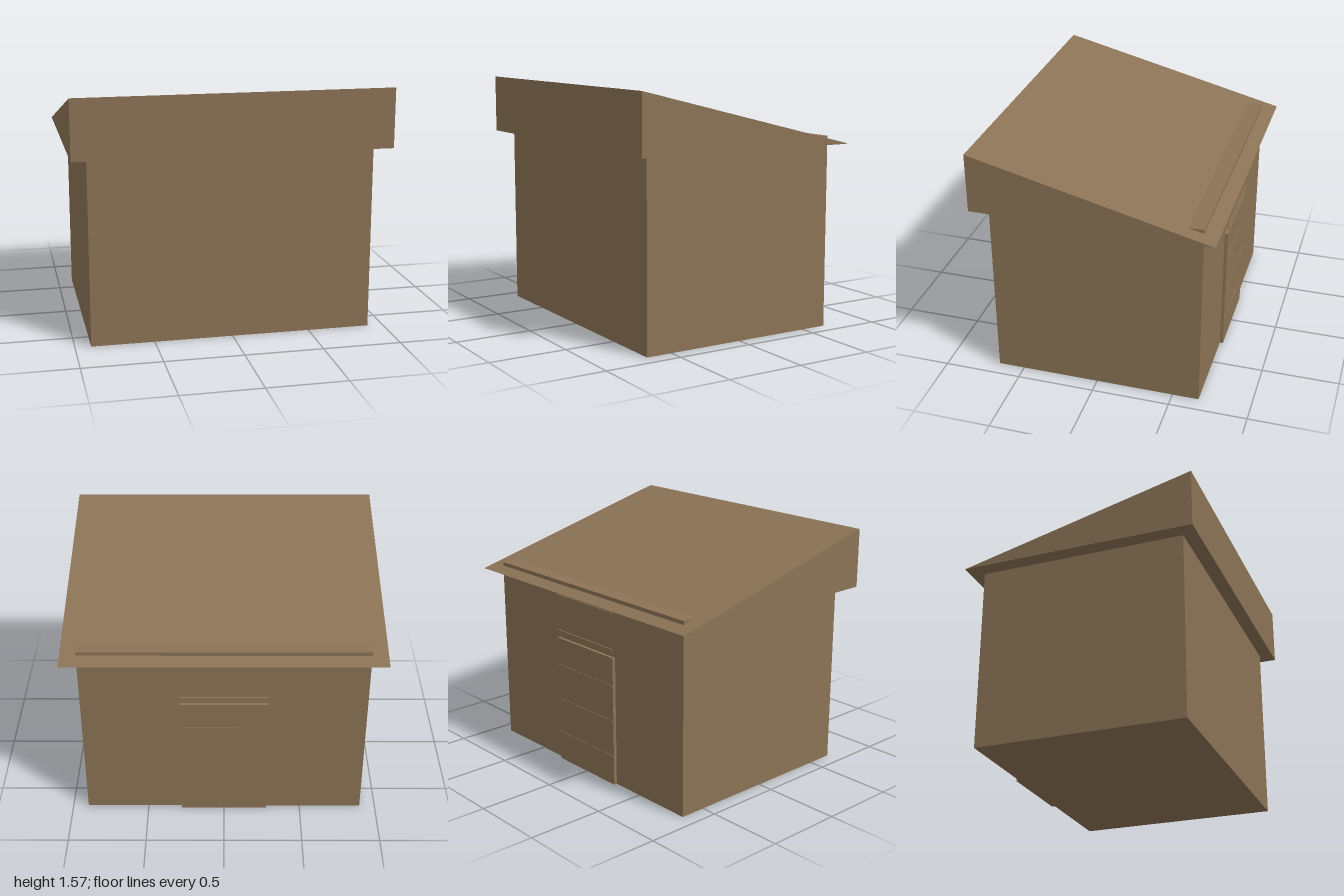
import * as THREE from 'three';

export function createModel() {
  const model = new THREE.Group();
  model.name = 'shed';
  const wood = new THREE.MeshStandardMaterial({ color: 0x8b7355 });
  wood.name = 'brown wood';

  const add = (name, geometry, x = 0, y = 0, z = 0) => {
    const mesh = new THREE.Mesh(geometry, wood);
    mesh.name = name;
    mesh.position.set(x, y, z);
    model.add(mesh);
  };

  // Walls: their top edge pokes slightly through the low side of the roof
  add('walls', new THREE.BoxGeometry(1.8, 1.24, 1.34), 0, 0.62, 0);

  // Wedge roof: triangular side profile extruded across the width
  const profile = new THREE.Shape([
    new THREE.Vector2(-0.76, 1.193),
    new THREE.Vector2(0.76, 1.193),
    new THREE.Vector2(-0.76, 1.573),
  ]);
  const roof = new THREE.ExtrudeGeometry(profile, { depth: 2, bevelEnabled: false });
  roof.translate(0, 0, -1).rotateY(Math.PI / 2); // profile x becomes -z
  add('roof', roof);

  // Door on the back wall
  add('door', new THREE.BoxGeometry(0.56, 0.857, 0.024), 0, 0.4285, -0.679);

  // Evenly spaced slats running up past the door
  for (let i = 0; i < 5; i++) {
    add('slat' + (i + 1), new THREE.BoxGeometry(0.55, 0.017, 0.008), 0, 0.191 + i * 0.2385, -0.691);
  }

  return model;
}
